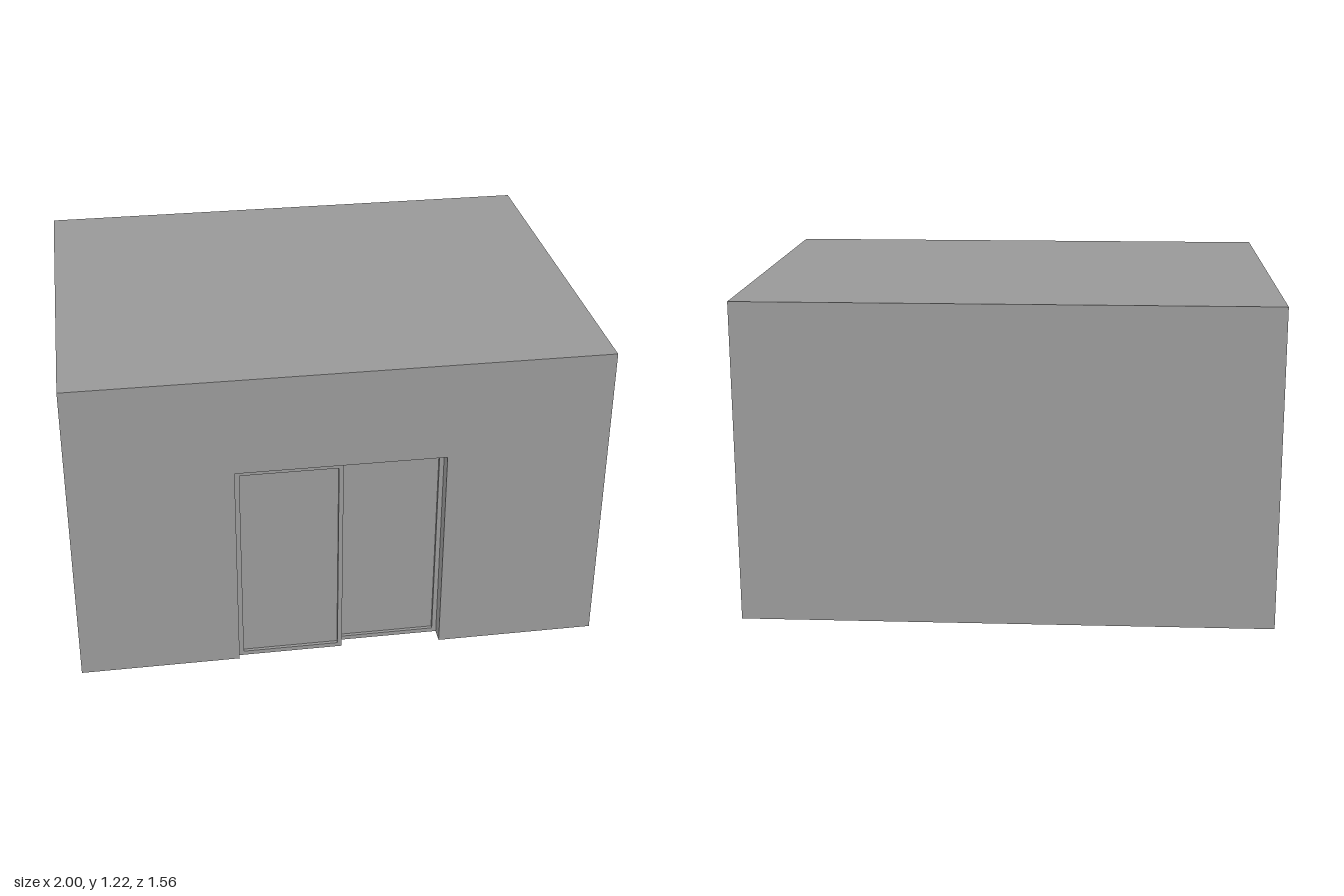
import * as THREE from 'three';

const W = 2, H = 1.216, D = 1.558, Z = D / 2;   // room shell
const X0 = -0.395, X1 = 0.39, DOOR_H = 0.836;   // doorway
const REVEAL = 0.105;                           // depth of the doorway lining

export function createModel() {
  const model = new THREE.Group();
  model.name = 'roomWithSlidingDoors';
  const grey = new THREE.MeshStandardMaterial({ color: 0x999999, side: THREE.DoubleSide });
  grey.name = 'plainGrey';

  const add = (name, geometry, parent, x = 0, y = 0, z = 0) => {
    const mesh = new THREE.Mesh(geometry, grey);
    mesh.name = name;
    mesh.position.set(x, y, z);
    parent.add(mesh);
    return mesh;
  };

  // Thin room shell, open underneath
  const shell = new THREE.Group();
  shell.name = 'roomShell';
  model.add(shell);
  add('roof', new THREE.PlaneGeometry(W, D).rotateX(-Math.PI / 2), shell, 0, H, 0);
  add('backWall', new THREE.PlaneGeometry(W, H).rotateY(Math.PI), shell, 0, H / 2, -Z);
  for (const s of [-1, 1]) {
    add(s > 0 ? 'leftWall' : 'rightWall',
      new THREE.PlaneGeometry(D, H).rotateY(s * Math.PI / 2), shell, s * W / 2, H / 2, 0);
  }

  // Front wall running around the doorway
  const wall = new THREE.Shape([
    [-1, 0], [X0, 0], [X0, DOOR_H], [X1, DOOR_H], [X1, 0], [1, 0], [1, H], [-1, H],
  ].map(([x, y]) => new THREE.Vector2(x, y)));
  add('frontWall', new THREE.ShapeGeometry(wall), shell, 0, 0, Z);

  // Lining of the doorway, reaching into the room
  const lining = new THREE.Group();
  lining.name = 'doorwayLining';
  model.add(lining);
  const liningZ = Z - REVEAL / 2;
  add('rightJamb', new THREE.PlaneGeometry(REVEAL, DOOR_H).rotateY(Math.PI / 2), lining, X0, DOOR_H / 2, liningZ);
  add('leftJamb', new THREE.PlaneGeometry(REVEAL, DOOR_H).rotateY(-Math.PI / 2), lining, X1, DOOR_H / 2, liningZ);
  add('header', new THREE.PlaneGeometry(X1 - X0, REVEAL).rotateX(Math.PI / 2), lining, (X0 + X1) / 2, DOOR_H, liningZ);

  // Two overlapping sliding doors: a frame with a thin pane set inside it
  const rail = 0.017, thick = 0.034, low = 0.006, high = DOOR_H - 0.001;
  const rect = (Kind, x0, y0, x1, y1) => new Kind(
    [[x0, y0], [x1, y0], [x1, y1], [x0, y1]].map(([x, y]) => new THREE.Vector2(x, y)));
  const addDoor = (name, x0, x1, front) => {
    const door = new THREE.Group();
    door.name = name;
    door.position.z = front - thick;
    model.add(door);
    const a = x0 + rail, b = x1 - rail, c = low + rail, d = high - rail;
    const frame = rect(THREE.Shape, x0, low, x1, high);
    frame.holes.push(rect(THREE.Path, a, c, b, d));
    add('doorFrame', new THREE.ExtrudeGeometry(frame, { depth: thick, bevelEnabled: false }), door);
    add('doorPane', new THREE.BoxGeometry(b - a, d - c, 0.008), door, (a + b) / 2, (c + d) / 2, thick / 2);
  };
  addDoor('outerDoor', X0 + 0.001, 0.006, Z - 0.012);
  addDoor('innerDoor', -0.012, X1 - 0.001, Z - 0.05);

  return model;
}
